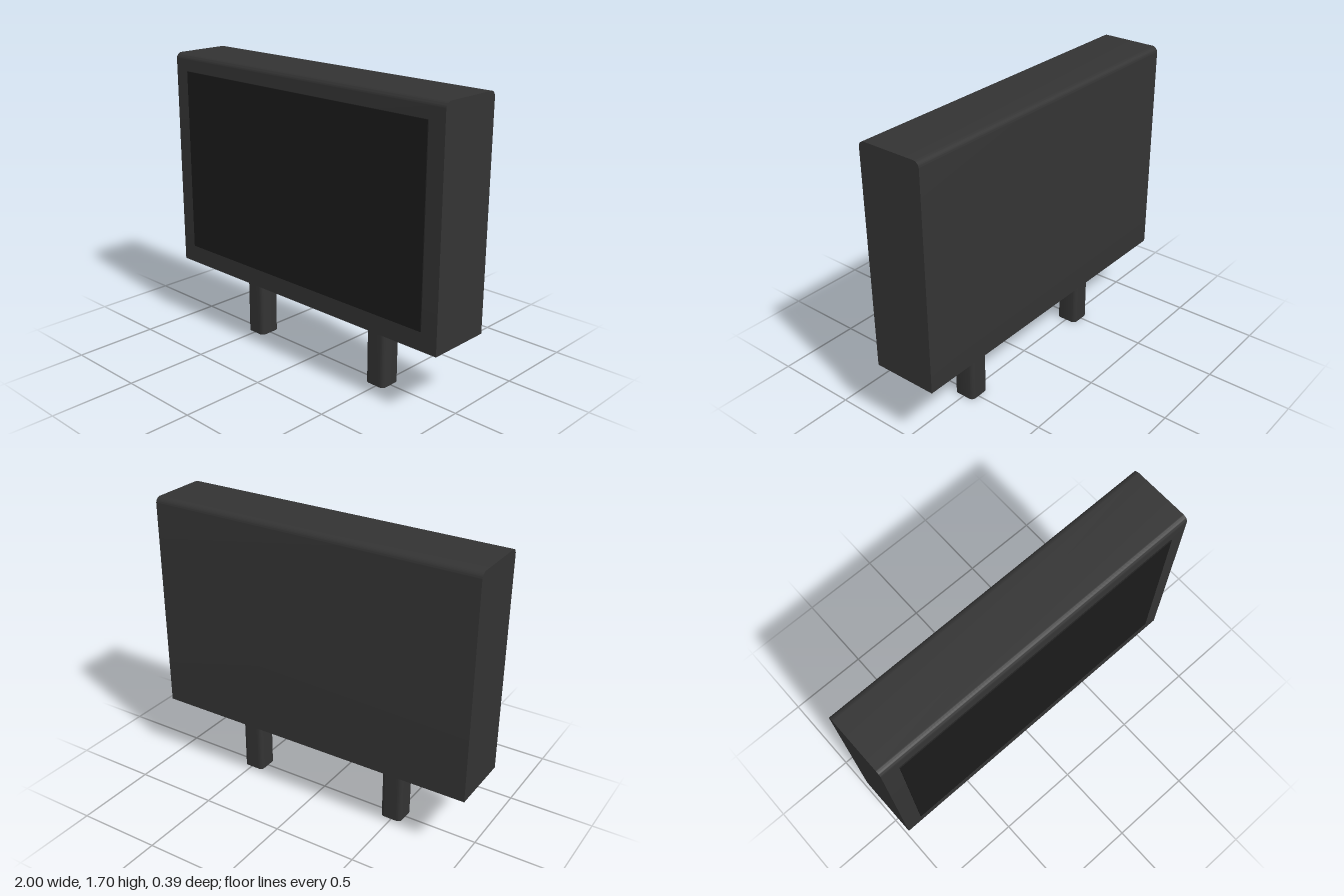
import * as THREE from 'three';
import { toCreasedNormals } from 'three/addons/utils/BufferGeometryUtils.js';

const shell = new THREE.MeshStandardMaterial({ color: 0x333333 });
const glass = new THREE.MeshStandardMaterial({ color: 0x1b1b1b });

// Rectangle from (x0, y0) to (x1, y1) with separate radii for lower and upper corners
function roundedRect(x0, y0, x1, y1, lower, upper) {
  const s = new THREE.Shape();
  s.moveTo(x0 + lower, y0);
  s.lineTo(x1 - lower, y0);
  if (lower) s.absarc(x1 - lower, y0 + lower, lower, -Math.PI / 2, 0);
  s.lineTo(x1, y1 - upper);
  if (upper) s.absarc(x1 - upper, y1 - upper, upper, 0, Math.PI / 2);
  s.lineTo(x0 + upper, y1);
  if (upper) s.absarc(x0 + upper, y1 - upper, upper, Math.PI / 2, Math.PI);
  s.lineTo(x0, y0 + lower);
  if (lower) s.absarc(x0 + lower, y0 + lower, lower, Math.PI, Math.PI * 1.5);
  return s;
}

function extrude(shape, depth) {
  return new THREE.ExtrudeGeometry(shape, { depth, bevelEnabled: false, curveSegments: 8 });
}

function addPart(group, name, geometry, material) {
  const mesh = new THREE.Mesh(toCreasedNormals(geometry, 0.6), material);
  mesh.name = name;
  group.add(mesh);
  return mesh;
}

export function createModel() {
  const group = new THREE.Group();
  group.name = 'displayBoard';

  // Housing: side profile with rounded top edges, extruded across the width
  const profile = roundedRect(-0.191, 0.396, 0.197, 1.7, 0, 0.035);
  const housing = extrude(profile, 2).translate(0, 0, -1).rotateY(Math.PI / 2);
  addPart(group, 'housing', housing, shell);

  // Screen: thin panel standing just proud of the front
  const screen = new THREE.BoxGeometry(1.8, 1.096, 0.02);
  addPart(group, 'screen', screen, glass).position.set(0, 1.053, 0.187);

  // Legs: square posts with rounded vertical edges
  for (const [name, x] of [['rightLeg', -0.493], ['leftLeg', 0.487]]) {
    const section = roundedRect(-0.065, -0.067, 0.065, 0.067, 0.025, 0.025);
    const leg = extrude(section, 0.41).rotateX(-Math.PI / 2);
    addPart(group, name, leg, shell).position.x = x;
  }
  return group;
}
